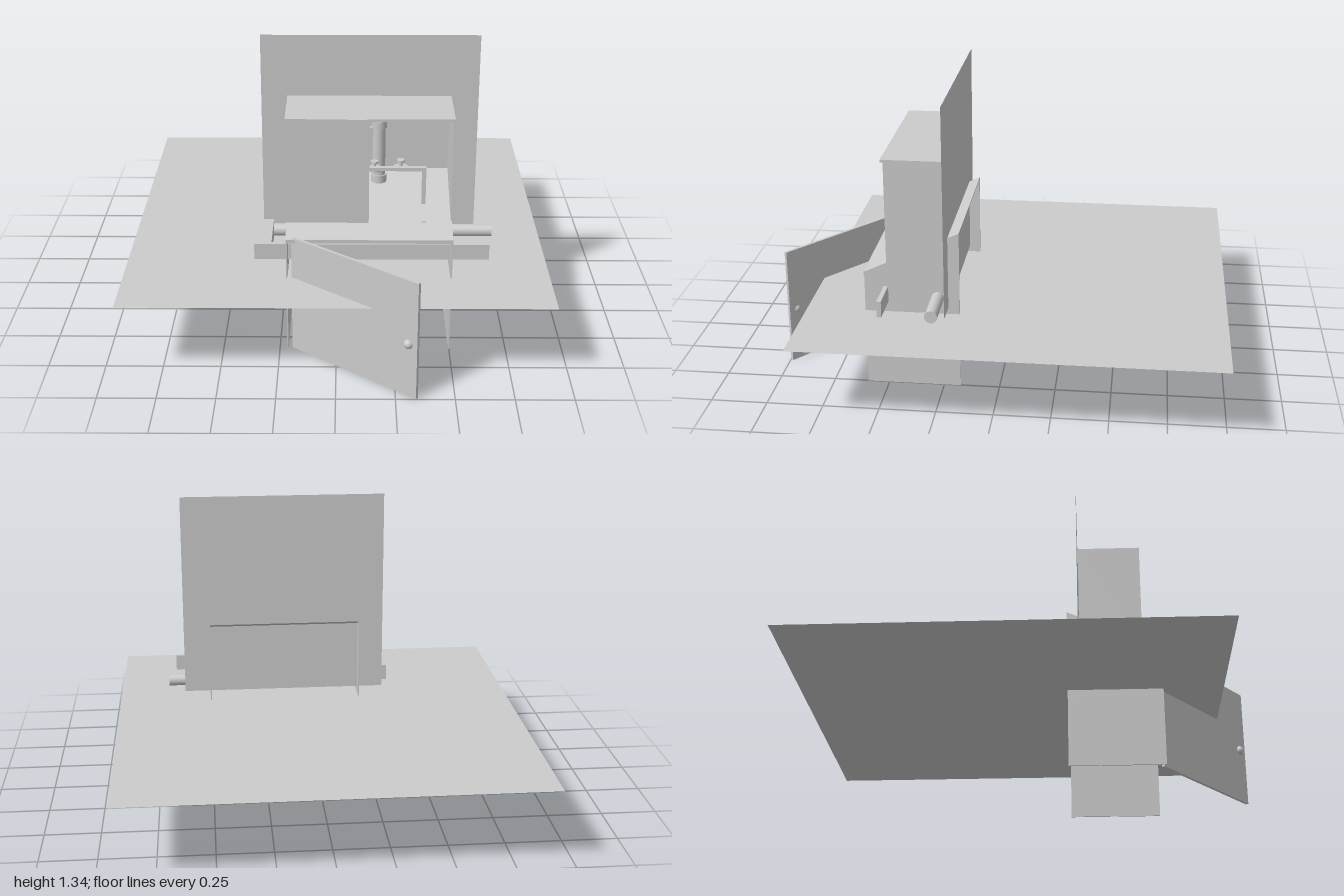
import * as THREE from 'three';

const grey = new THREE.MeshStandardMaterial({ color: 0xcccccc, side: THREE.DoubleSide });

export function createModel() {
  const model = new THREE.Group();

  function add(name, geometry, x = 0, y = 0, z = 0, parent = model) {
    const mesh = new THREE.Mesh(geometry, grey);
    mesh.name = name;
    mesh.position.set(x, y, z);
    parent.add(mesh);
    return mesh;
  }

  // box given by its limits on each axis
  function box(name, [x0, x1], [y0, y1], [z0, z1], parent = model) {
    return add(name, new THREE.BoxGeometry(x1 - x0, y1 - y0, z1 - z0),
      (x0 + x1) / 2, (y0 + y1) / 2, (z0 + z1) / 2, parent);
  }

  // upright cylinder from y0 to y1
  function post(name, r, y0, y1, x, z, parent = model) {
    return add(name, new THREE.CylinderGeometry(r, r, y1 - y0, 24), x, (y0 + y1) / 2, z, parent);
  }

  // sheet with a (z, y) outline, running from x0 to x1
  function profile(name, points, x0, x1, parent = model) {
    const shape = new THREE.Shape(points.map(([z, y]) => new THREE.Vector2(z, y)));
    const geometry = new THREE.ExtrudeGeometry(shape, { depth: x1 - x0, bevelEnabled: false });
    geometry.rotateY(-Math.PI / 2);
    return add(name, geometry, x1, 0, 0, parent);
  }

  // floor and wall sheets
  add('floor', new THREE.PlaneGeometry(1.86, 1.86).rotateX(-Math.PI / 2), 0, 0.353, -0.07);
  add('wall', new THREE.PlaneGeometry(0.955, 0.955), 0.145, 0.862, 0.225);

  // cabinet
  const cabinet = new THREE.Group();
  cabinet.name = 'cabinet';
  model.add(cabinet);
  const side = [[0.175, 0], [0.597, 0], [0.597, 0.54], [0.497, 0.582], [0.497, 1.06],
    [0.23, 1.06], [0.23, 0.712], [0.175, 0.737]];
  for (const [name, x] of [['rightSide', -0.218], ['leftSide', 0.496]]) {
    profile(name, side, x, x + 0.006, cabinet);
  }
  profile('slopedTray', [[0.6, 0.538], [0.6, 0.532], [0.175, 0.731], [0.175, 0.737]], -0.218, 0.502, cabinet);
  box('trayLip', [-0.218, 0.502], [0.524, 0.54], [0.592, 0.6], cabinet);
  box('cabinetTop', [-0.218, 0.502], [1.05, 1.062], [0.23, 0.51], cabinet);
  box('frontPanel', [-0.218, 0.14], [0.58, 1.06], [0.497, 0.512], cabinet);

  // open door, swung about its hinge
  const door = new THREE.Group();
  door.name = 'door';
  door.position.set(-0.19, 0, 0.583);
  door.rotation.y = -Math.atan2(0.41, 0.53);
  model.add(door);
  box('doorPanel', [0, 0.67], [0, 0.545], [-0.007, 0.007], door);
  add('doorKnob', new THREE.SphereGeometry(0.021, 20, 14), 0.625, 0.25, 0.006, door);
  box('hinge', [-0.215, -0.175], [0.522, 0.536], [0.575, 0.596]);

  // shaft and L-shaped bar through the base
  add('shaft', new THREE.CylinderGeometry(0.028, 0.028, 1.03, 32).rotateZ(Math.PI / 2), 0.185, 0.428, 0.272);
  box('crossBar', [-0.36, 0.668], [0.402, 0.475], [0.492, 0.512]);
  box('barArm', [-0.36, -0.285], [0.402, 0.475], [0.26, 0.512]);
  box('barHanger', [0.37, 0.388], [0.475, 0.585], [0.495, 0.508]);

  // upright actuator
  const actuator = new THREE.Group();
  actuator.name = 'actuator';
  model.add(actuator);
  post('actuatorBody', 0.028, 0.72, 0.97, 0.185, 0.33, actuator);
  for (const y of [0.7, 0.955]) post('actuatorCap', 0.034, y, y + 0.035, 0.185, 0.33, actuator);
  box('port', [0.14, 0.165], [0.93, 0.955], [0.32, 0.34], actuator);
  box('mountBlock', [0.03, 0.13], [0.78, 0.84], [0.24, 0.3], actuator);
  post('guideRod', 0.01, 0.72, 0.95, 0.12, 0.3, actuator);

  // arm carrying the probe
  box('arm', [0.05, 0.39], [0.782, 0.798], [0.395, 0.415]);
  box('probe', [0.372, 0.39], [0.62, 0.798], [0.395, 0.415]);
  for (const [x, z] of [[0.165, 0.385], [0.28, 0.37]]) {
    post('washer', 0.032, 0.776, 0.786, x, z);
    post('boltStem', 0.007, 0.776, 0.815, x, z);
    post('boltHead', 0.017, 0.809, 0.818, x, z);
  }
  return model;
}
